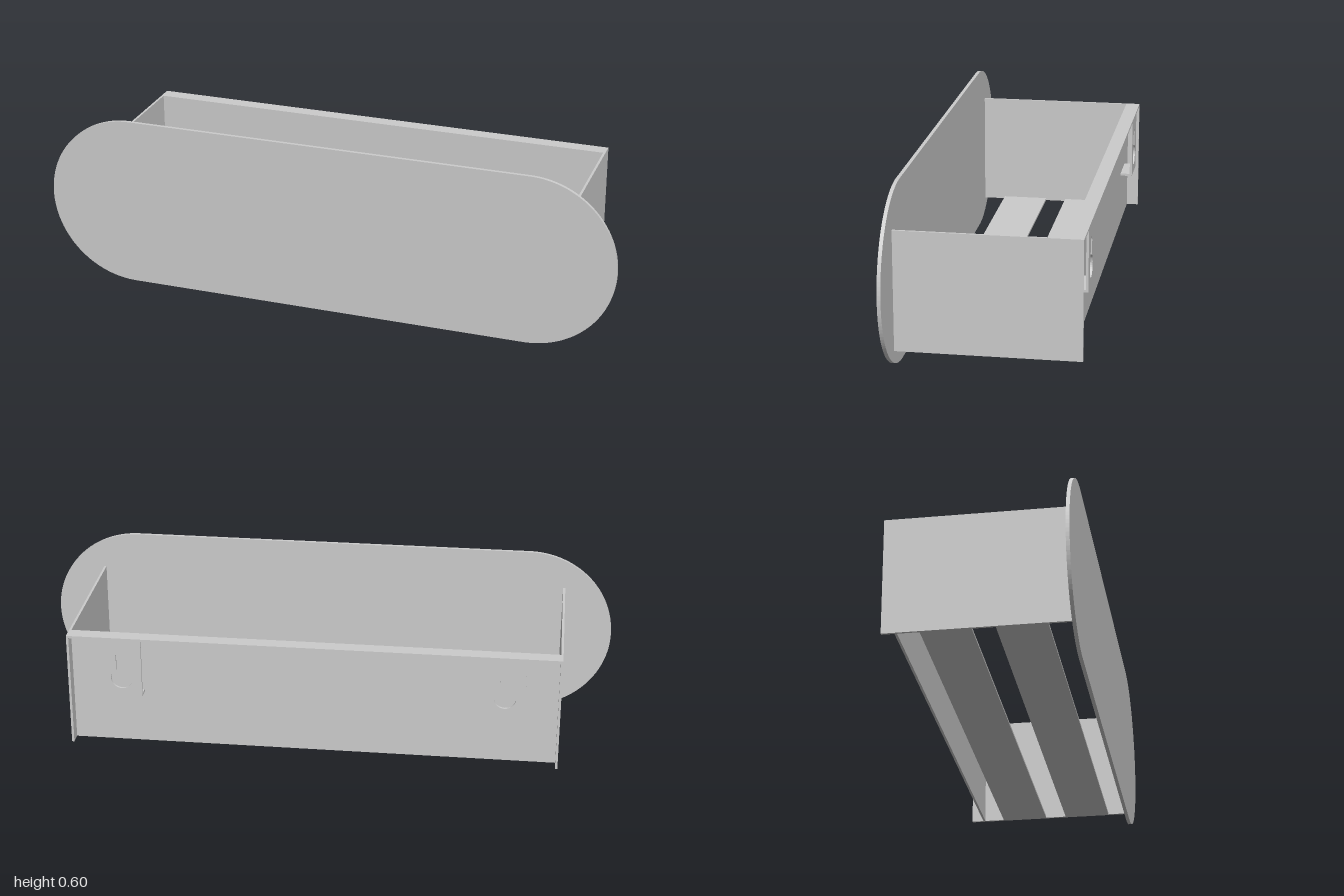
import * as THREE from 'three';

const material = new THREE.MeshStandardMaterial({ color: 0xcccccc });
const T = 0.008; // sheet thickness
const HALF = 0.83, BOTTOM = 0.07, TOP = 0.47, BACK = -0.306, FRONT = 0.294;
const PANEL = -0.256; // inner face of the recessed back panel

function add(parent, name, geometry) {
  const mesh = new THREE.Mesh(geometry, material);
  mesh.name = name;
  parent.add(mesh);
  return mesh;
}

// Box given by its limits on each axis
function box(parent, name, x0, x1, y0, y1, z0, z1) {
  const mesh = add(parent, name, new THREE.BoxGeometry(x1 - x0, y1 - y0, z1 - z0));
  mesh.position.set((x0 + x1) / 2, (y0 + y1) / 2, (z0 + z1) / 2);
  return mesh;
}

function extrude(shape, depth, curveSegments) {
  return new THREE.ExtrudeGeometry(shape, { depth, bevelEnabled: false, curveSegments });
}

// Keyhole: round opening with a narrower round-topped slot above it
function keyhole() {
  const r = 0.037, w = 0.018, cy = 0.322, slotTop = 0.402;
  const a = Math.acos(w / r);
  const hole = new THREE.Path();
  hole.absarc(0, slotTop, w, 0, Math.PI, false);
  hole.absarc(0, cy, r, Math.PI - a, 2 * Math.PI + a, false);
  hole.closePath();
  return hole;
}

export function createModel() {
  const model = new THREE.Group();
  model.name = 'wallShelfBox';

  // Front panel with fully rounded ends
  const r = 0.3;
  const stadium = new THREE.Shape();
  stadium.absarc(1 - r, r, r, -Math.PI / 2, Math.PI / 2, false);
  stadium.absarc(-1 + r, r, r, Math.PI / 2, Math.PI * 1.5, false);
  stadium.closePath();
  add(model, 'frontPanel', extrude(stadium, 0.012, 32)).position.z = FRONT;

  // Recessed back panel and the flange along its top
  const inner = HALF - T;
  box(model, 'backPanel', -inner, inner, BOTTOM, TOP - T, PANEL - T, PANEL);
  box(model, 'topFlange', -inner, inner, TOP - T, TOP, BACK, PANEL);

  // Floor slats
  for (const [z0, z1] of [[-0.185, -0.022], [0.053, 0.216]])
    box(model, 'floorSlat', -inner, inner, BOTTOM, BOTTOM + T, z0, z1);

  for (const side of [1, -1]) {
    // Side wall
    const x = side * (HALF - T / 2);
    box(model, side > 0 ? 'leftWall' : 'rightWall', x - T / 2, x + T / 2, BOTTOM, TOP, BACK, FRONT);

    // Hanging tab with a keyhole and a lip folded in to the back panel
    const hanger = new THREE.Group();
    hanger.name = side > 0 ? 'leftHanger' : 'rightHanger';
    hanger.position.x = side * 0.645;
    const w = 0.068, low = 0.257;
    const plate = new THREE.Shape();
    plate.moveTo(-w, low);
    plate.lineTo(w, low);
    plate.lineTo(w, TOP - T);
    plate.lineTo(-w, TOP - T);
    plate.closePath();
    plate.holes.push(keyhole());
    add(hanger, 'keyholeTab', extrude(plate, T, 16)).position.z = BACK;
    box(hanger, 'tabLip', -w, w, low, low + T, BACK + T, PANEL - T);
    model.add(hanger);
  }
  return model;
}
